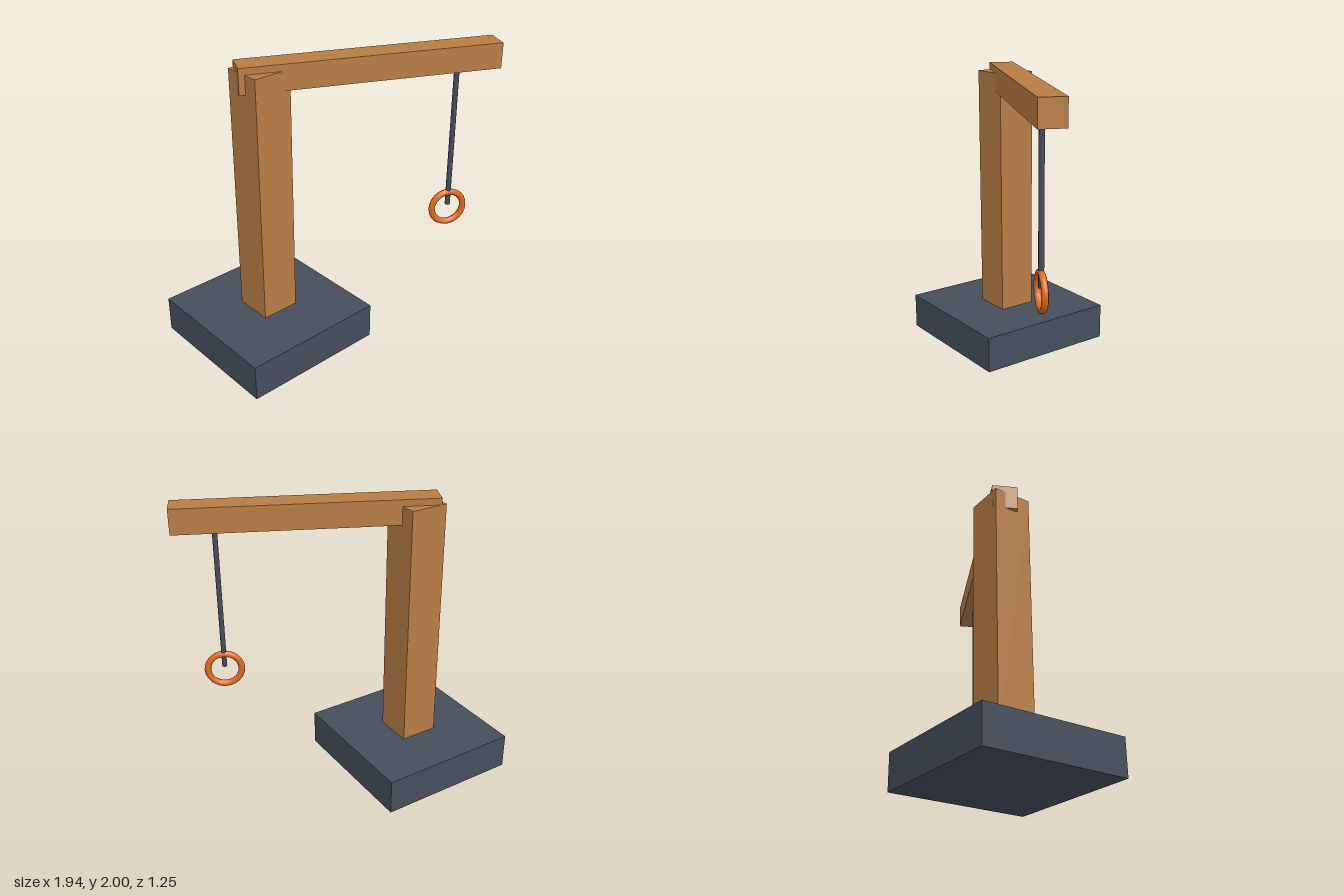
import * as THREE from 'three';

export function createModel() {
  const model = new THREE.Group();
  const wood = new THREE.MeshStandardMaterial({ color: 0xb87d45 });
  const slate = new THREE.MeshStandardMaterial({ color: 0x454e5b });
  const orange = new THREE.MeshStandardMaterial({ color: 0xe06a20 });
  const swing = -0.448; // beam heading about the vertical axis

  const add = (name, geometry, material, x, y, z, turn = 0) => {
    const mesh = new THREE.Mesh(geometry, material);
    mesh.name = name;
    mesh.position.set(x, y, z);
    mesh.rotation.y = turn;
    model.add(mesh);
  };

  // Square foot and upright post
  add('base', new THREE.BoxGeometry(0.995, 0.25, 0.995), slate, -0.475, 0.125, -0.13);
  add('post', new THREE.BoxGeometry(0.265, 1.705, 0.265), wood, -0.473, 1.1025, -0.132);

  // Swung-out beam resting over the post
  add('beam', new THREE.BoxGeometry(1.705, 0.17, 0.168), wood, 0.164, 1.915, 0.178, swing);

  // Hanging rope and the ring at its end, in line with the beam
  add('rope', new THREE.CylinderGeometry(0.018, 0.018, 1.0, 8), slate, 0.686, 1.335, 0.433);
  add('ring', new THREE.TorusGeometry(0.115, 0.0225, 8, 24), orange, 0.686, 0.813, 0.433, swing);

  return model;
}
